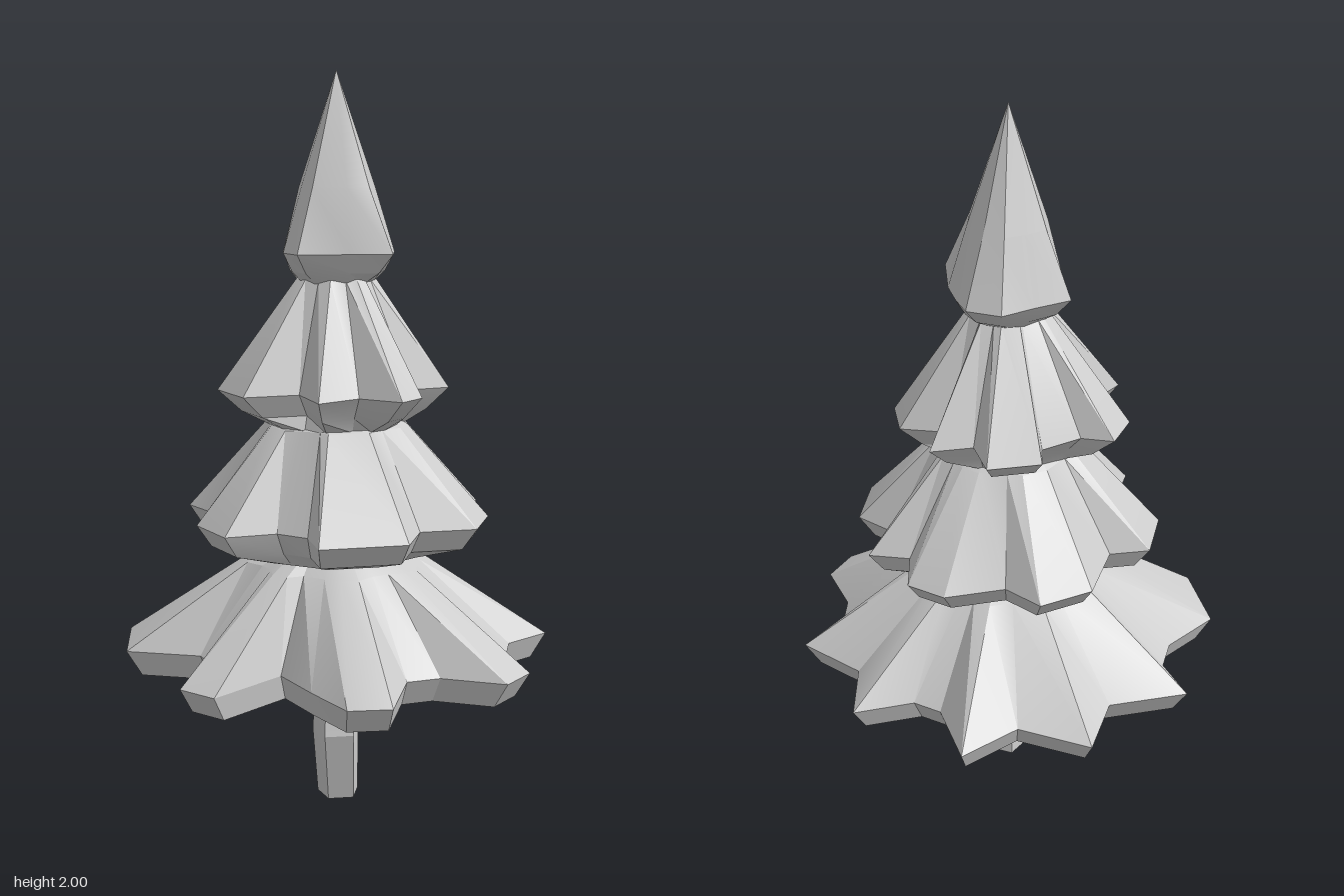
import * as THREE from 'three';
import { toCreasedNormals } from 'three/addons/utils/BufferGeometryUtils.js';

const material = new THREE.MeshStandardMaterial({ color: 0xcccccc });

// Skin a stack of closed rings, listed from top to bottom.
function loft(name, rings) {
  const pos = [];
  const tri = (a, b, c) => {
    const area = b.clone().sub(a).cross(c.clone().sub(a)).length();
    if (area > 1e-8) pos.push(...a.toArray(), ...b.toArray(), ...c.toArray());
  };
  for (let i = 0; i + 1 < rings.length; i++) {
    const up = rings[i], low = rings[i + 1], n = up.length;
    for (let j = 0; j < n; j++) {
      const k = (j + 1) % n;
      tri(up[j], up[k], low[j]);
      tri(up[k], low[k], low[j]);
    }
  }
  const geometry = new THREE.BufferGeometry();
  geometry.setAttribute('position', new THREE.Float32BufferAttribute(pos, 3));
  const mesh = new THREE.Mesh(toCreasedNormals(geometry, 0.4), material);
  mesh.name = name;
  return mesh;
}

// A skirt of branches: each profile row is [height, scale, radius, star],
// where star mixes a plain circle (0) with the scaled jagged outline (1).
function tier(name, outline, profile) {
  return loft(name, profile.map(([y, scale, radius, star]) =>
    outline.map(([x, z]) => {
      const len = Math.hypot(x, z);
      const r = THREE.MathUtils.lerp(radius, len * scale, star) / len;
      return new THREE.Vector3(x * r, y, z * r);
    })));
}

// Jagged outlines [x, z], going round from +x towards +z
const bottomOutline = [
  [0.45, 0], [0.575, 0.11], [0.43, 0.21], [0.425, 0.41], [0.28, 0.39], [0.2, 0.44], [0.12, 0.575],
  [0.01, 0.585], [-0.07, 0.43], [-0.15, 0.385], [-0.32, 0.485], [-0.405, 0.41], [-0.373, 0.26],
  [-0.335, 0.115], [-0.565, 0.11], [-0.58, 0], [-0.4, -0.07], [-0.37, -0.155], [-0.48, -0.33],
  [-0.335, -0.485], [-0.16, -0.445], [-0.07, -0.475], [0, -0.59], [0.16, -0.44], [0.33, -0.49],
  [0.38, -0.29], [0.55, -0.23], [0.44, -0.08],
];
const lowerOutline = [
  [0.42, 0.03], [0.32, 0.1], [0.37, 0.2], [0.245, 0.215], [0.24, 0.34], [0.1, 0.41], [-0.025, 0.32],
  [-0.145, 0.385], [-0.335, 0.25], [-0.27, 0.15], [-0.29, 0.06], [-0.41, -0.01], [-0.37, -0.16],
  [-0.25, -0.2], [-0.22, -0.355], [-0.075, -0.41], [0, -0.33], [0.17, -0.38], [0.3, -0.305],
  [0.29, -0.19], [0.41, -0.08],
];
const upperOutline = [
  [0.31, 0.03], [0.2, 0.045], [0.26, 0.165], [0.18, 0.245], [0.08, 0.2], [-0.01, 0.31], [-0.1, 0.32],
  [-0.13, 0.2], [-0.26, 0.18], [-0.19, 0.045], [-0.32, -0.03], [-0.27, -0.18], [-0.15, -0.17],
  [-0.11, -0.31], [0, -0.33], [0.035, -0.25], [0.14, -0.2], [0.2, -0.24], [0.3, -0.14], [0.23, -0.05],
];
const crownOutline = [
  [0.2, -0.01], [0.16, 0.05], [0.11, 0.11], [0, 0.2], [-0.07, 0.12], [-0.18, 0.03], [-0.15, -0.05],
  [-0.09, -0.11], [0, -0.19], [0.09, -0.14], [0.175, -0.1],
];

// Bent five-sided trunk
function trunk() {
  const sections = [[0.45, 0.01, 0.01, 0.06], [0.33, -0.005, 0.005, 0.06], [0.2, -0.025, 0.025, 0.068],
    [0, 0.005, 0.005, 0.06], [0, 0.005, 0.005, 0]];
  return loft('trunk', sections.map(([y, cx, cz, r]) =>
    Array.from({ length: 5 }, (_, i) => {
      const a = (i + 0.3) / 5 * Math.PI * 2;
      return new THREE.Vector3(cx + r * Math.cos(a), y, cz + r * Math.sin(a));
    })));
}

export function createModel() {
  const tree = new THREE.Group();
  tree.name = 'tree';
  tree.add(
    trunk(),
    tier('bottomBranches', bottomOutline,
      [[0.76, 1, 0.1, 0], [0.69, 0.45, 0.24, 0.35], [0.46, 1, 0, 1], [0.39, 0.93, 0, 1], [0.33, 1, 0, 0]]),
    tier('lowerBranches', lowerOutline,
      [[1.12, 1, 0.1, 0], [1.07, 0.48, 0.19, 0.35], [0.82, 1, 0, 1], [0.76, 0.9, 0, 1],
        [0.72, 0.6, 0.24, 0.2], [0.69, 1, 0, 0]]),
    tier('upperBranches', upperOutline,
      [[1.5, 1, 0.06, 0], [1.46, 0.4, 0.1, 0.3], [1.17, 1, 0, 1], [1.11, 0.8, 0, 1],
        [1.07, 0.6, 0.18, 0.2], [1.05, 1, 0, 0]]),
    tier('crown', crownOutline,
      [[2, 1, 0, 0], [1.7, 0.62, 0.11, 0.5], [1.53, 1, 0, 1], [1.48, 0.8, 0.14, 0.6],
        [1.45, 0.5, 0.1, 0], [1.44, 1, 0, 0]]),
  );
  return tree;
}
